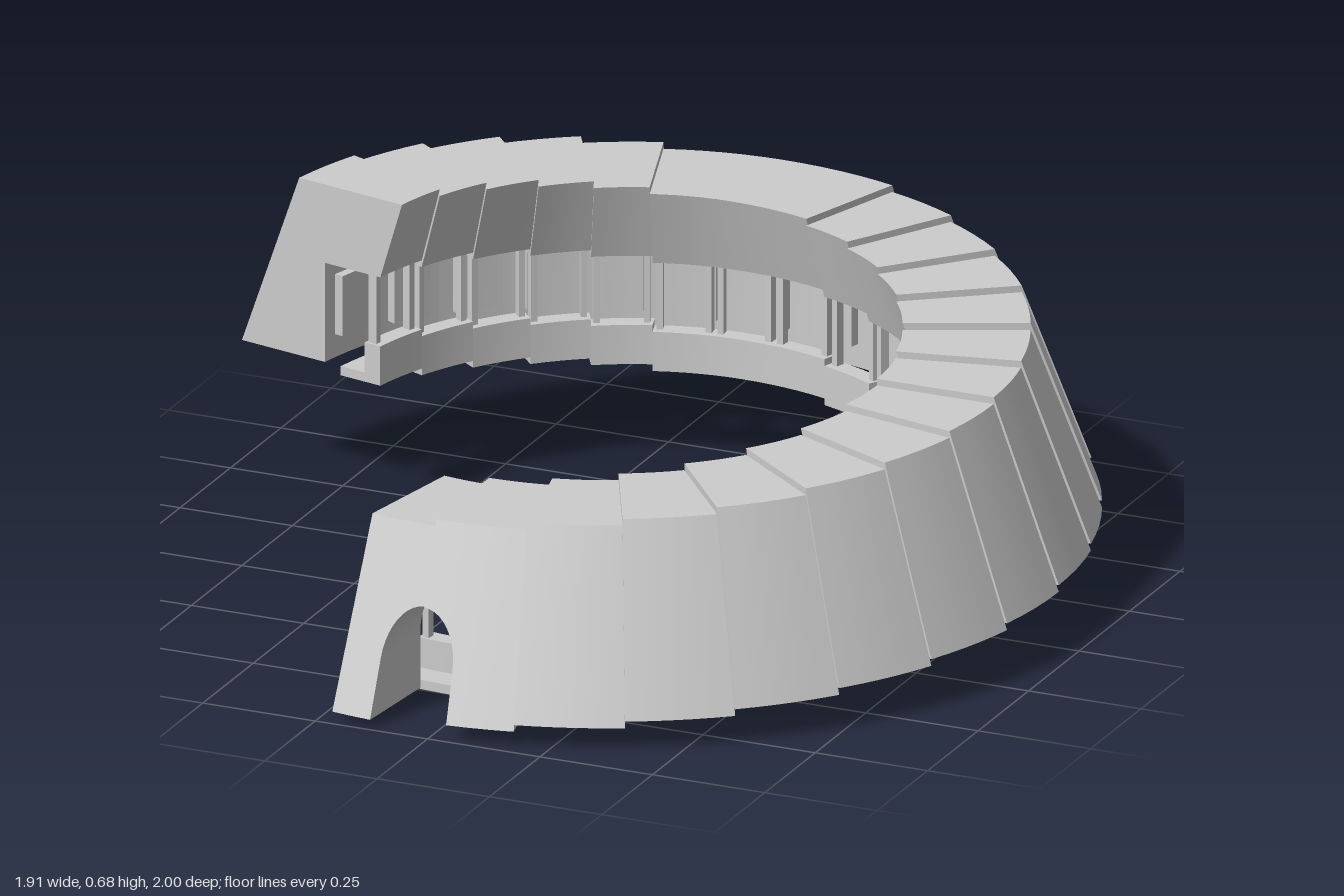
import * as THREE from 'three';
import { toCreasedNormals } from 'three/addons/utils/BufferGeometryUtils.js';

const RAD = Math.PI / 180;
const HEIGHT = 0.385;      // foot to roof
const CEILING = 0.215;     // foot to gallery ceiling
const DOOR = 4.85;         // half angle of the doorway, in degrees

// Angles where the ring steps up (0 = front, 90 = the model's left)
const STEPS = [-10, 0, 13, 26, 39, 52, 65, 78, 90, 102, 114, 126, 138, 150,
  162, 198, 210, 222, 234, 246, 257.5];
const footOf = (i) => 0.02 + 0.0145 * i;

// Ring point; the centre drifts slightly after the back
function ringPoint(deg, r, y) {
  const a = deg * RAD;
  const cx = -0.045 + (deg > 180 ? 0.0635 * Math.sin((deg - 180) * RAD) : 0);
  return [cx + r * Math.sin(a), y, r * Math.cos(a)];
}

// Closed loft through [angle, profile] sections; profiles are [r, y], counterclockwise
function loft(sections) {
  const pos = [];
  const rings = sections.map(([deg, prof]) => prof.map(([r, y]) => ringPoint(deg, r, y)));
  const n = rings[0].length;
  const tri = (a, b, c) => pos.push(...a, ...b, ...c);
  for (let s = 0; s < rings.length - 1; s++) {
    for (let j = 0; j < n; j++) {
      const k = (j + 1) % n;
      const a = rings[s][j], b = rings[s + 1][j], c = rings[s + 1][k], d = rings[s][k];
      tri(a, b, c);
      tri(a, c, d);
    }
  }
  const cap = (s, flip) => {
    const pts = sections[s][1].map(([r, y]) => new THREE.Vector2(r, y));
    for (const [a, b, c] of THREE.ShapeUtils.triangulateShape(pts, [])) {
      const R = rings[s];
      if (flip) tri(R[a], R[c], R[b]); else tri(R[a], R[b], R[c]);
    }
  };
  cap(0, false);
  cap(rings.length - 1, true);
  const g = new THREE.BufferGeometry();
  g.setAttribute('position', new THREE.Float32BufferAttribute(pos, 3));
  return toCreasedNormals(g, 0.4);
}

// Same profile swept between two angles
function sweep(from, to, profile) {
  const n = Math.max(1, Math.ceil((to - from) / 3));
  return loft(Array.from({ length: n + 1 }, (_, i) => [from + (to - from) * i / n, profile]));
}

const rect = (r0, r1, y0, y1) => [[r1, y0], [r1, y1], [r0, y1], [r0, y0]];

// Sloping outer wall with overhanging roof; lift raises the foot over the doorway
function wallProfile(b, lift = 0) {
  const t = b + HEIGHT, c = b + CEILING;
  return [
    [1 - 0.145 * lift / HEIGHT, b + lift], [0.855, t], [0.595, t],
    [0.65, c], [0.79, c], [0.79, Math.min(b + lift, c - 0.002)],
  ];
}

function wallSections(from, to, b) {
  const arch = (deg) =>
    0.14 + 0.11 * Math.sqrt(Math.max(0, 1 - (deg / DOOR) ** 2)) - b;
  const angles = [];
  const n = Math.ceil((to - from) / 3);
  for (let i = 0; i <= n; i++) angles.push(from + (to - from) * i / n);
  const overlaps = from < DOOR && to > -DOOR;
  if (!overlaps) return angles.map((d) => [d, wallProfile(b)]);

  // Plain wall, door jamb, then the arch in fine slices
  const out = [];
  const lo = Math.max(from, -DOOR), hi = Math.min(to, DOOR);
  if (from < lo) out.push([from, wallProfile(b)], [(from + lo) / 2, wallProfile(b)], [lo, wallProfile(b)]);
  for (let i = 0; i <= 10; i++) {
    const u = i / 10;
    // Slices crowd towards the steep side of the arch
    const d = lo < 0 ? -DOOR * Math.cos(u * Math.PI / 2) : DOOR * Math.sin(u * Math.PI / 2);
    out.push([d, wallProfile(b, arch(d))]);
  }
  if (hi < to) {
    for (let i = 0; i <= 3; i++) out.push([hi + (to - hi) * i / 3, wallProfile(b)]);
  }
  return out;
}

export function createModel() {
  const model = new THREE.Group();
  model.name = 'steppedRingGallery';
  const stone = new THREE.MeshStandardMaterial({ color: 0xcccccc });
  stone.name = 'pale grey stone';

  const add = (parent, name, geometry) => {
    const mesh = new THREE.Mesh(geometry, stone);
    mesh.name = name;
    parent.add(mesh);
  };

  for (let i = 0; i < STEPS.length - 1; i++) {
    const from = STEPS[i], to = STEPS[i + 1], b = footOf(i);
    const bay = new THREE.Group();
    bay.name = 'bay' + (i + 1);
    model.add(bay);

    add(bay, 'wallAndRoof', loft(wallSections(from, to, b)));

    // Low inner parapet with a narrow ledge at its foot
    add(bay, 'parapet', sweep(from, to, [
      [0.75, b - 0.02], [0.75, b], [0.69, b], [0.69, b + 0.065],
      [0.65, b + 0.065], [0.65, b - 0.02],
    ]));

    // Slim posts between parapet and ceiling, and raised panels on the wall
    const count = Math.max(1, Math.round((to - from) / 12));
    const width = (to - from) / count;
    for (let k = 0; k < count; k++) {
      const a = from + k * width;
      for (const p of [a + 0.6, a + width - 1.8]) {
        add(bay, 'post', sweep(p, p + 1.2, rect(0.665, 0.685, b + 0.06, b + CEILING + 0.005)));
      }
      if (i > 1) {
        add(bay, 'wallPanel', sweep(a + 2.5, a + width - 2.5,
          rect(0.77, 0.795, b + 0.05, b + 0.18)));
      }
    }
  }
  return model;
}
